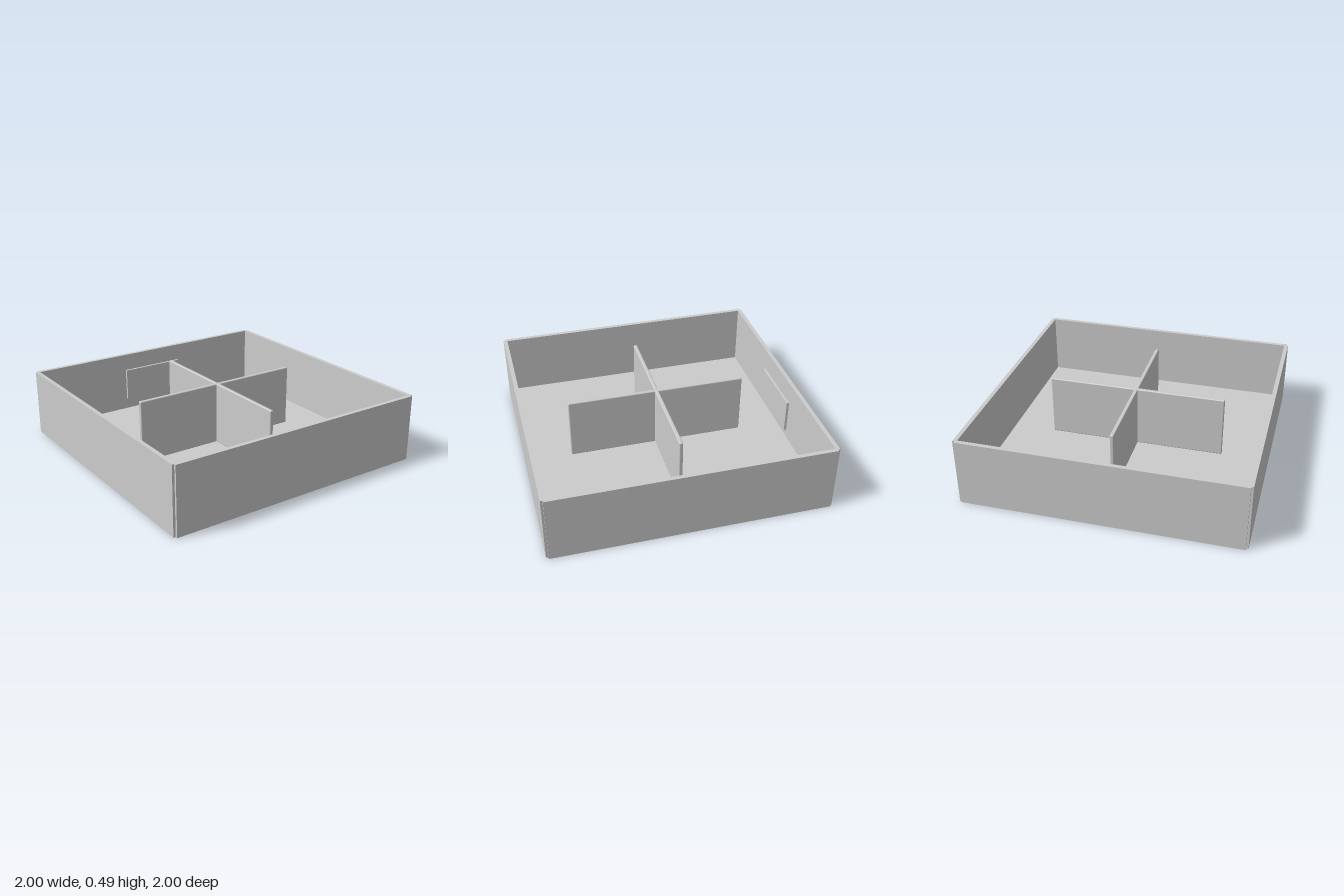
import * as THREE from 'three';
import { RoundedBoxGeometry } from 'three/addons/geometries/RoundedBoxGeometry.js';

const HEIGHT = 0.49, FLOOR = 0.03, INNER = 0.97, NOTCH = 0.984;

const material = new THREE.MeshStandardMaterial({ color: 0xcccccc });

function add(group, name, geometry, x = 0, y = 0, z = 0) {
  const mesh = new THREE.Mesh(geometry, material);
  mesh.name = name;
  mesh.position.set(x, y, z);
  group.add(mesh);
  return mesh;
}

// Square outline with a small square step cut out of each corner
function outline() {
  const points = [];
  for (const [sx, sy] of [[1, 1], [-1, 1], [-1, -1], [1, -1]]) {
    const corner = [[1, NOTCH], [NOTCH, NOTCH], [NOTCH, 1]];
    if (sx * sy < 0) corner.reverse();
    for (const [x, y] of corner) points.push(new THREE.Vector2(sx * x, sy * y));
  }
  return new THREE.Shape(points);
}

// Extrudes a plan shape upwards
function upright(shape, depth) {
  return new THREE.ExtrudeGeometry(shape, { depth, bevelEnabled: false }).rotateX(-Math.PI / 2);
}

export function createModel() {
  const group = new THREE.Group();
  group.name = 'dividedTray';

  // Floor and the wall ring standing on it
  add(group, 'floor', upright(outline(), FLOOR));
  const ring = outline();
  ring.holes.push(new THREE.Path([
    new THREE.Vector2(-INNER, -INNER), new THREE.Vector2(-INNER, INNER),
    new THREE.Vector2(INNER, INNER), new THREE.Vector2(INNER, -INNER),
  ]));
  add(group, 'walls', upright(ring, HEIGHT - FLOOR), 0, FLOOR, 0);

  // Crossed dividers with softened edges
  const dividerHeight = HEIGHT - FLOOR;
  for (const [name, turn] of [['crossDivider', 0], ['lengthDivider', Math.PI / 2]]) {
    const divider = add(group, name,
      new RoundedBoxGeometry(1.31, dividerHeight, 0.028, 2, 0.008),
      0, FLOOR + dividerHeight / 2, 0);
    divider.rotation.y = turn;
  }

  // Thin label plate just inside the back wall
  add(group, 'labelPlate', new THREE.BoxGeometry(0.49, 0.245, 0.018), 0, 0.247, -0.94);

  return group;
}
